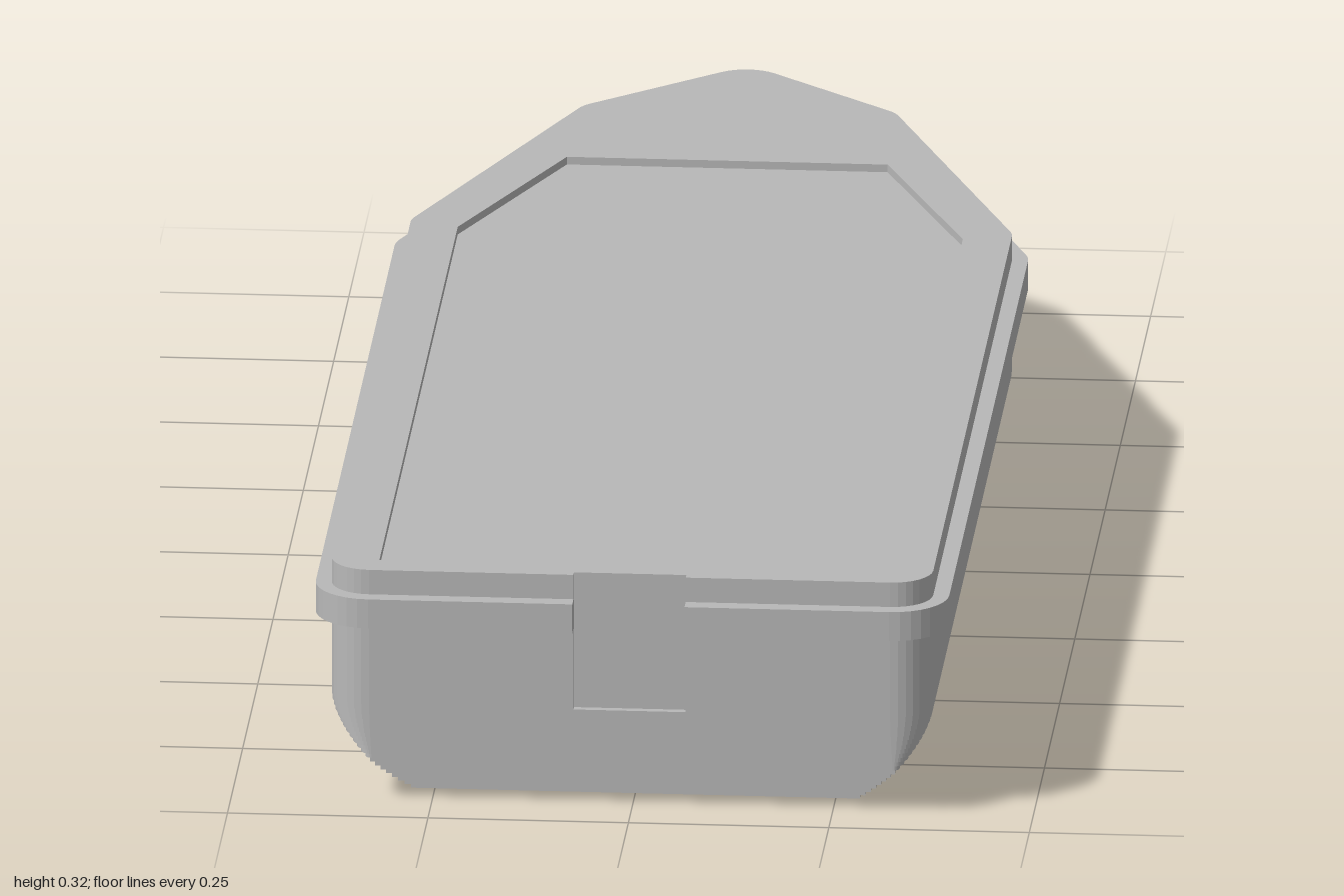
import * as THREE from 'three';

const hullGrey = new THREE.MeshStandardMaterial({ color: 0xb8b8b8 });
hullGrey.name = 'hullGrey';

// Sharp plan corners, counter-clockwise, bow towards +y (turned to -z later)
const CORNERS = [
  [-0.375, -0.98], [0.375, -0.98], [0.375, 0.375], [0.195, 0.83],
  [0, 1.0], [-0.195, 0.83], [-0.375, 0.375],
].map(([x, y]) => new THREE.Vector2(x, y));
const CORNER_RADIUS = 0.05;
const NOTCH = { half: 0.07, y: -0.97 };

// Mitred inset of the plan: corners move inwards by d along their bisectors
function insetCorner(i, d) {
  const n = CORNERS.length;
  const p = CORNERS[i];
  const a = p.clone().sub(CORNERS[(i + n - 1) % n]).normalize();
  const b = CORNERS[(i + 1) % n].clone().sub(p).normalize();
  const na = new THREE.Vector2(-a.y, a.x);
  const nb = new THREE.Vector2(-b.y, b.x);
  const bisector = na.clone().add(nb);
  bisector.multiplyScalar(1 / (1 + na.dot(nb)));
  return { point: p.clone().addScaledVector(bisector, d), na, nb, bisector };
}

// Plan outline with rounded corners and an optional notch in the stern
function planShape(d, notch) {
  const r = CORNER_RADIUS - d;
  const pts = [];
  CORNERS.forEach((_, i) => {
    const { point, na, nb, bisector } = insetCorner(i, d);
    if (r < 0.003) {
      pts.push(point);
    } else {
      const centre = point.clone().addScaledVector(bisector, r);
      const start = Math.atan2(-na.y, -na.x);
      const turn = Math.acos(THREE.MathUtils.clamp(na.dot(nb), -1, 1));
      const steps = 8;
      for (let k = 0; k <= steps; k++) {
        const t = start + (turn * k) / steps;
        pts.push(new THREE.Vector2(centre.x + r * Math.cos(t), centre.y + r * Math.sin(t)));
      }
    }
    if (i === 0 && notch) {
      const edge = -0.98 + d;
      pts.push(
        new THREE.Vector2(-NOTCH.half, edge), new THREE.Vector2(-NOTCH.half, NOTCH.y),
        new THREE.Vector2(NOTCH.half, NOTCH.y), new THREE.Vector2(NOTCH.half, edge),
      );
    }
  });
  return new THREE.Shape(pts);
}

// Two round sockets on the keel line
function addSockets(shape) {
  for (const y of [-0.5, 0.5]) {
    const hole = new THREE.Path();
    hole.absarc(0, y, 0.09, 0, Math.PI * 2, true);
    shape.holes.push(hole);
  }
  return shape;
}

// Horizontal slab between two heights
function slab(name, shape, y0, y1) {
  const geo = new THREE.ExtrudeGeometry(shape, { depth: y1 - y0, bevelEnabled: false, curveSegments: 24 });
  geo.rotateX(-Math.PI / 2);
  geo.translate(0, y0, 0);
  const mesh = new THREE.Mesh(geo, hullGrey);
  mesh.name = name;
  return mesh;
}

export function createModel() {
  const model = new THREE.Group();
  model.name = 'boatHull';

  // Stepped bilge curving in towards the flat bottom
  const bilge = new THREE.Group();
  bilge.name = 'steppedBilge';
  const layers = 20;
  const bilgeTop = 0.14;
  for (let i = 0; i < layers; i++) {
    const inset = 0.095 * Math.pow(1 - i / layers, 1.6);
    const y0 = (bilgeTop * i) / layers;
    const y1 = (bilgeTop * (i + 1)) / layers;
    bilge.add(slab('bilgeStep', addSockets(planShape(inset, false)), y0, y1));
  }
  model.add(bilge);

  // Upright sides: lower part holds the tops of the sockets
  model.add(slab('lowerSides', addSockets(planShape(0, true)), bilgeTop, 0.2));
  model.add(slab('upperSides', planShape(0, true), 0.2, 0.307));

  // Deck border around a shallow recess
  const border = planShape(0, true);
  border.holes.push(new THREE.Path([
    [-0.315, -0.94], [-0.315, 0.35], [-0.2, 0.63], [0.2, 0.63], [0.315, 0.35], [0.315, -0.94],
  ].map(([x, y]) => new THREE.Vector2(x, y))));
  model.add(slab('deckBorder', border, 0.307, 0.317));

  // Rubbing strake around the hull, broken at the stern notch
  model.add(slab('rubbingStrake', planShape(-0.02, true), 0.247, 0.285));

  return model;
}
